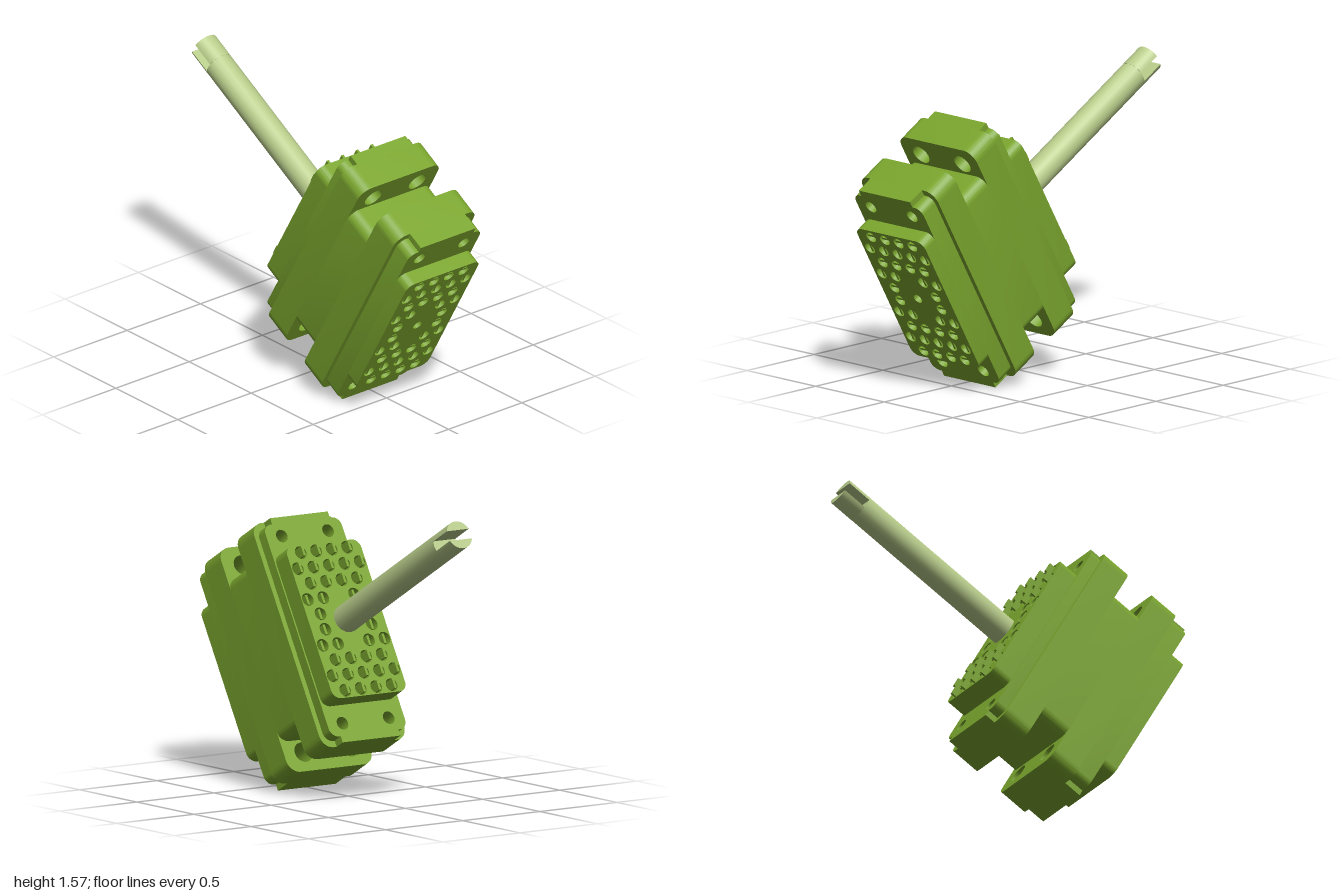
import * as THREE from 'three';
import { mergeGeometries, toCreasedNormals } from 'three/addons/utils/BufferGeometryUtils.js';

const bodyMat = new THREE.MeshStandardMaterial({ color: 0x7aa52e });
const shaftMat = new THREE.MeshStandardMaterial({ color: 0xb8cc8a });

// Rectangle with rounded corners, half sizes w and h
function roundedRect(w, h, r) {
  const s = new THREE.Shape();
  s.moveTo(-w + r, -h);
  s.lineTo(w - r, -h);
  s.absarc(w - r, -h + r, r, -Math.PI / 2, 0);
  s.lineTo(w, h - r);
  s.absarc(w - r, h - r, r, 0, Math.PI / 2);
  s.lineTo(-w + r, h);
  s.absarc(-w + r, h - r, r, Math.PI / 2, Math.PI);
  s.lineTo(-w, -h + r);
  s.absarc(-w + r, -h + r, r, Math.PI, Math.PI * 1.5);
  return s;
}

// Rounded plate whose ends carry a narrower tab
function tabbedRect(w, h, r, tabW, tabH) {
  const s = new THREE.Shape();
  s.moveTo(-tabW, -tabH);
  s.lineTo(tabW, -tabH);
  s.lineTo(tabW, -h);
  s.absarc(w - r, -h + r, r, -Math.PI / 2, 0);
  s.absarc(w - r, h - r, r, 0, Math.PI / 2);
  s.lineTo(tabW, h);
  s.lineTo(tabW, tabH);
  s.lineTo(-tabW, tabH);
  s.lineTo(-tabW, h);
  s.absarc(-w + r, h - r, r, Math.PI / 2, Math.PI);
  s.absarc(-w + r, -h + r, r, Math.PI, Math.PI * 1.5);
  s.lineTo(-tabW, -h);
  return s;
}

function addHoles(shape, points, r) {
  for (const [x, y] of points) {
    const hole = new THREE.Path();
    hole.absarc(x, y, r, 0, Math.PI * 2, true);
    shape.holes.push(hole);
  }
  return shape;
}

// Extrude a shape between two depths, front face at z1
function slab(name, shape, z0, z1, mat = bodyMat) {
  const geo = new THREE.ExtrudeGeometry(shape, { depth: z1 - z0, bevelEnabled: false, curveSegments: 8 });
  geo.translate(0, 0, z0);
  const mesh = new THREE.Mesh(toCreasedNormals(geo, 0.7), mat);
  mesh.name = name;
  return mesh;
}

// Hexagonal contact pattern, leaving the middle free
function contactPositions() {
  const list = [];
  for (let i = 0; i < 5; i++) {
    const y = 0.0433 + i * 0.0866;
    const xs = i % 2 ? [-0.2, -0.1, 0, 0.1, 0.2] : [-0.15, -0.05, 0.05, 0.15];
    for (const x of xs) {
      if (Math.hypot(x, y) < 0.14 && Math.abs(x) < 0.08) continue;
      list.push([x, y, i], [x, -y, i]);
    }
  }
  return list;
}

function blades(name, boxes) {
  const geos = boxes.map(([x, y, z, w, h, d]) => new THREE.BoxGeometry(w, h, d).translate(x, y, z));
  const mesh = new THREE.Mesh(mergeGeometries(geos), bodyMat);
  mesh.name = name;
  return mesh;
}

export function createModel() {
  const model = new THREE.Group();
  model.name = 'connectorBlock';
  const tilted = new THREE.Group();
  tilted.name = 'tiltedAssembly';
  tilted.rotation.x = Math.PI / 6;
  tilted.position.set(0, 0.7145, 0.4125);
  model.add(tilted);

  const screws = [[-0.15, 0.53], [0.15, 0.53], [-0.15, -0.53], [0.15, -0.53]];
  const contacts = contactPositions();

  // Housing: front half, waist and rear half
  const flange = () => addHoles(roundedRect(0.275, 0.635, 0.07), screws, 0.055);
  const cover = () => addHoles(tabbedRect(0.248, 0.6, 0.05, 0.187, 0.635), screws, 0.036);
  tilted.add(
    slab('frontCover', cover(), 0.21, 0.31),
    slab('frontFlange', flange(), 0.05, 0.21),
    slab('waist', roundedRect(0.275, 0.46, 0.06), -0.125, 0.05),
    slab('rearFlange', flange(), -0.284, -0.122),
    slab('rearCover', cover(), -0.345, -0.284)
  );

  // Contact inserts with their grids of holes
  const frontInsert = addHoles(roundedRect(0.248, 0.435, 0.05), contacts, 0.033);
  addHoles(frontInsert, [[0, 0]], 0.028);
  const rearInsert = addHoles(roundedRect(0.24, 0.43, 0.05), contacts, 0.036);
  tilted.add(
    slab('frontInsert', frontInsert, 0.31, 0.39),
    slab('rearInsert', rearInsert, -0.455, -0.345)
  );

  // Contact blades: recessed in front, standing proud in the outer rear rows
  tilted.add(blades('frontContacts', contacts.map(([x, y, i]) =>
    i % 2 ? [x, y, 0.345, 0.012, 0.06, 0.07] : [x, y, 0.345, 0.06, 0.012, 0.07])));
  tilted.add(blades('rearContacts', contacts.map(([x, y, i]) => {
    const end = i >= 2 ? 0.482 : 0.452;
    return [x, y, -(0.345 + end) / 2, 0.014, 0.055, end - 0.345];
  })));

  // Jackscrew shaft with a driver slot across its tip
  const r = 0.076, tip = -1.597, slotFloor = -1.46, gap = 0.027;
  const circle = new THREE.Shape();
  circle.absarc(0, 0, r, 0, Math.PI * 2);
  tilted.add(slab('shaft', circle, slotFloor, -0.4, shaftMat));
  const a = Math.asin(gap / r);
  for (const [name, start] of [['upperTine', 0], ['lowerTine', Math.PI]]) {
    const tine = new THREE.Shape();
    tine.absarc(0, 0, r, start + a, start + Math.PI - a);
    tine.closePath();
    tilted.add(slab(name, tine, tip, slotFloor, shaftMat));
  }
  return model;
}
